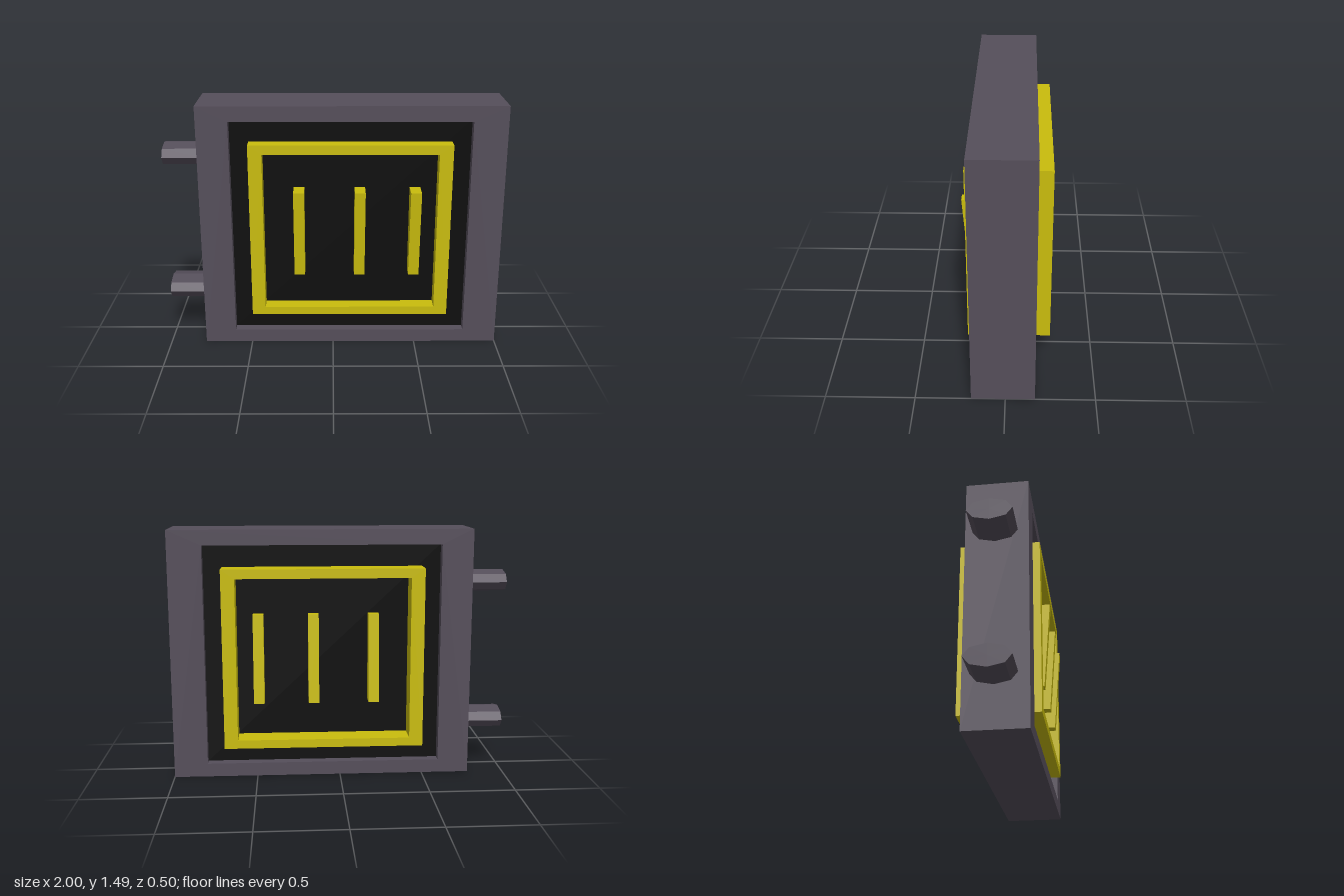
import * as THREE from 'three';

const material = (color) => new THREE.MeshStandardMaterial({ color, flatShading: true });

// Rectangle outline given by its x and y limits
function rectangle(Type, x0, x1, y0, y1) {
  const r = new Type();
  r.moveTo(x0, y0);
  r.lineTo(x1, y0);
  r.lineTo(x1, y1);
  r.lineTo(x0, y1);
  r.closePath();
  return r;
}

// Rectangular border from z0 to z1, open in the middle
function border(outer, inner, z0, z1) {
  const shape = rectangle(THREE.Shape, ...outer);
  shape.holes.push(rectangle(THREE.Path, ...inner));
  const geometry = new THREE.ExtrudeGeometry(shape, { depth: z1 - z0, bevelEnabled: false });
  return geometry.translate(0, 0, z0);
}

export function createModel() {
  const model = new THREE.Group();
  const grey = material(0x554e5a);
  const yellow = material(0xc9bc0d);
  const black = material(0x0d0d0d);

  const add = (name, geometry, mat, x = 0, y = 0, z = 0) => {
    const mesh = new THREE.Mesh(geometry, mat);
    mesh.name = name;
    mesh.position.set(x, y, z);
    model.add(mesh);
    return mesh;
  };

  // Outer frame and the dark panel recessed on both sides
  add('frame', border([-0.785, 1, 0, 1.485], [-0.6, 0.8, 0.08, 1.395], -0.165, 0.19), grey);
  add('panel', new THREE.BoxGeometry(1.42, 1.335, 0.235), black, 0.1, 0.7375, 0.0125);

  // Raised square border passing through the panel
  add('raisedBorder', border([-0.49, 0.69, 0.2, 1.265], [-0.41, 0.61, 0.25, 1.21], -0.25, 0.22), yellow);

  // Three upright bars leaning forward at the top
  const barWidth = 0.063;
  for (const x of [-0.2, 0.157, 0.482]) {
    const bar = new THREE.BoxGeometry(barWidth, 0.527, 0.415);
    const p = bar.attributes.position;
    for (let i = 0; i < p.count; i++) p.setZ(i, p.getZ(i) + 0.075 * p.getY(i));
    add('bar', bar, yellow, x, 0.724, 0.0225);
  }

  // Flattened eight-sided hinge pegs on the right side
  for (const y of [0.31, 1.165]) {
    const peg = new THREE.CylinderGeometry(1, 1, 0.235, 8);
    peg.rotateZ(Math.PI / 2).scale(1, 0.065, 0.126);
    add('hingePeg', peg, grey, -0.8825, y, 0.003);
  }

  return model;
}
